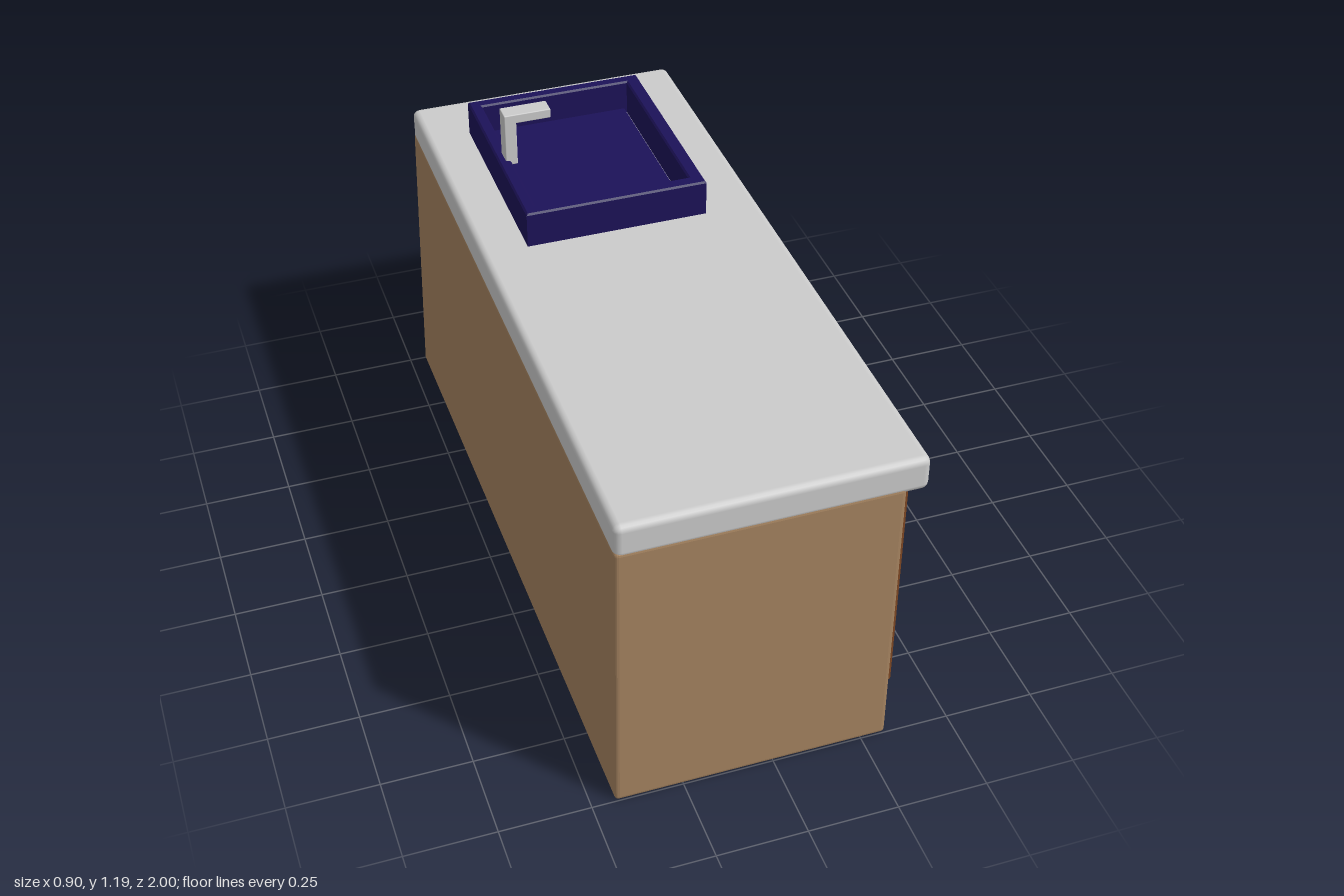
import * as THREE from 'three';
import { RoundedBoxGeometry } from 'three/addons/geometries/RoundedBoxGeometry.js';

const material = (color) => new THREE.MeshStandardMaterial({ color });

// Softly bevelled box given by its minimum and maximum corners
function boxBetween(min, max, bevel) {
  const size = max.map((v, i) => v - min[i]);
  const geometry = new RoundedBoxGeometry(...size, 2, bevel);
  return geometry.translate(...max.map((v, i) => (v + min[i]) / 2));
}

export function createModel() {
  const model = new THREE.Group();
  const add = (name, geometry, mat, parent = model) => {
    const mesh = new THREE.Mesh(geometry, mat);
    mesh.name = name;
    parent.add(mesh);
    return mesh;
  };

  const wood = material(0xa58360);
  const doorWood = material(0x7a4522);
  const black = material(0x0c0c0c);
  const navy = material(0x1c1258);
  const grey = material(0xcccccc);

  // Cabinet body: the back leans out towards the bottom of the sink end
  const body = boxBetween([-0.43, 0, -1], [0.32, 0.86, 1], 0.012);
  const p = body.attributes.position;
  for (let i = 0; i < p.count; i++) {
    if (p.getX(i) < 0) {
      const low = 1 - p.getY(i) / 0.86;
      const sinkEnd = (1 - p.getZ(i)) / 2;
      p.setX(i, p.getX(i) - 0.022 * low * (0.3 + 0.7 * sinkEnd));
    }
  }
  body.computeVertexNormals();
  add('cabinet', body, wood);

  // Worktop overhanging the doors
  add('worktop', boxBetween([-0.43, 0.84, -1], [0.38, 0.94, 1], 0.02), grey);

  // Doors with round knobs beside the centre stile
  const doors = [
    { z0: 0.04, z1: 0.94, face: 0.356, knobX: 0.4, knobZ: 0.13 },
    { z0: -0.92, z1: -0.02, face: 0.336, knobX: 0.377, knobZ: -0.115 },
  ];
  for (const d of doors) {
    const door = new THREE.Group();
    door.name = 'door';
    model.add(door);
    add('doorPanel', boxBetween([0.3, 0.125, d.z0], [d.face, 0.85, d.z1], 0.01), doorWood, door);
    add('knob', new THREE.SphereGeometry(0.05, 32, 20), black, door)
      .position.set(d.knobX, 0.497, d.knobZ);
  }

  // Basin: rectangular wall with an opening, and a slightly smaller floor
  const sink = new THREE.Group();
  sink.name = 'sink';
  model.add(sink);
  const rectangle = (target, x0, x1, y0, y1) => {
    target.moveTo(x0, y0);
    target.lineTo(x1, y0);
    target.lineTo(x1, y1);
    target.lineTo(x0, y1);
    target.closePath();
    return target;
  };
  const b = 0.005;
  const wall = rectangle(new THREE.Shape(), -0.3 + b, 0.22 - b, 0.18 + b, 0.81 - b);
  wall.holes.push(rectangle(new THREE.Path(), -0.265 - b, 0.18 + b, 0.22 - b, 0.775 + b));
  const basin = new THREE.ExtrudeGeometry(wall, {
    depth: 0.105, bevelEnabled: true, bevelSize: b, bevelThickness: b, bevelSegments: 1,
  });
  basin.rotateX(-Math.PI / 2).translate(0, 0.935, 0);
  add('basinWall', basin, navy, sink);
  add('basinFloor', boxBetween([-0.268, 0.93, -0.778], [0.173, 0.955, -0.227], 0.004), navy, sink);

  // Square tap standing on the rim
  const tap = new THREE.Group();
  tap.name = 'tap';
  model.add(tap);
  add('tapPost', boxBetween([-0.28, 1.03, -0.51], [-0.245, 1.19, -0.46], 0.003), grey, tap);
  add('tapSpout', boxBetween([-0.265, 1.162, -0.51], [-0.145, 1.19, -0.46], 0.003), grey, tap);

  return model;
}
